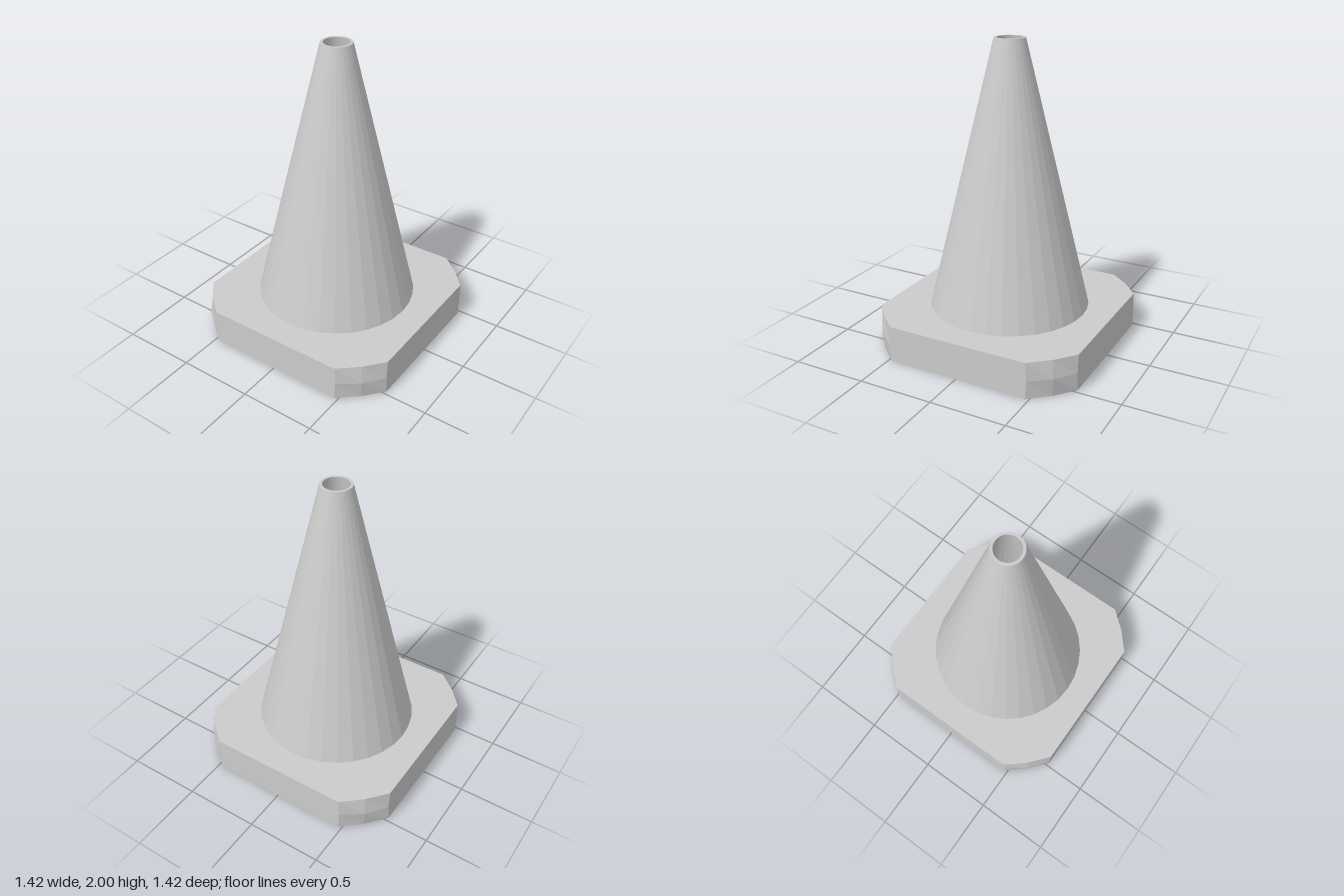
import * as THREE from 'three';

const SIDES = 32;
const HALF = 0.712; // half width of the base
const BASE_H = 0.24;
const HOLE_R = 0.387;

const material = new THREE.MeshStandardMaterial({ color: 0xcccccc, flatShading: true });

// Square slab with rounded-off corners that bulge at mid height, and a round hole
function baseGeometry() {
  const corner = [[HALF, 0.475], [0.603, 0.603], [0.475, HALF]];
  const outline = [];
  for (let q = 0; q < 4; q++) {
    for (const [x, y] of corner) {
      outline.push(new THREE.Vector2(x, y).rotateAround(new THREE.Vector2(), q * Math.PI / 2));
    }
  }
  const shape = new THREE.Shape(outline);
  const hole = [];
  for (let i = 0; i < SIDES; i++) {
    const a = -i / SIDES * Math.PI * 2;
    hole.push(new THREE.Vector2(Math.cos(a) * HOLE_R, Math.sin(a) * HOLE_R));
  }
  shape.holes.push(new THREE.Path(hole));

  const geo = new THREE.ExtrudeGeometry(shape, { depth: BASE_H, steps: 2, bevelEnabled: false });
  geo.rotateX(-Math.PI / 2);

  // Push the middle ring of the corners outward, keeping the four sides flat
  const p = geo.attributes.position;
  const bulge = (v) => (Math.abs(v) < HALF - 0.01 ? v * 1.02 : v);
  for (let i = 0; i < p.count; i++) {
    const x = p.getX(i), z = p.getZ(i);
    const isMiddle = Math.abs(p.getY(i) - BASE_H / 2) < 0.01;
    if (isMiddle && Math.hypot(x, z) > 0.6) {
      p.setX(i, bulge(x));
      p.setZ(i, bulge(z));
    }
  }
  geo.computeVertexNormals();
  return geo;
}

// Hollow cone: outer wall, top rim, inner wall down into the base hole
function coneGeometry() {
  const profile = [[0.53, BASE_H], [0.1, 2], [0.083, 2], [HOLE_R, 0.04]];
  const geo = new THREE.LatheGeometry(profile.map(([r, y]) => new THREE.Vector2(r, y)), SIDES).toNonIndexed();
  geo.computeVertexNormals();
  return geo;
}

export function createModel() {
  const model = new THREE.Group();
  model.name = 'trafficCone';
  const addPart = (name, geometry) => {
    const mesh = new THREE.Mesh(geometry, material);
    mesh.name = name;
    model.add(mesh);
  };
  addPart('base', baseGeometry());
  addPart('hollowCone', coneGeometry());
  return model;
}
